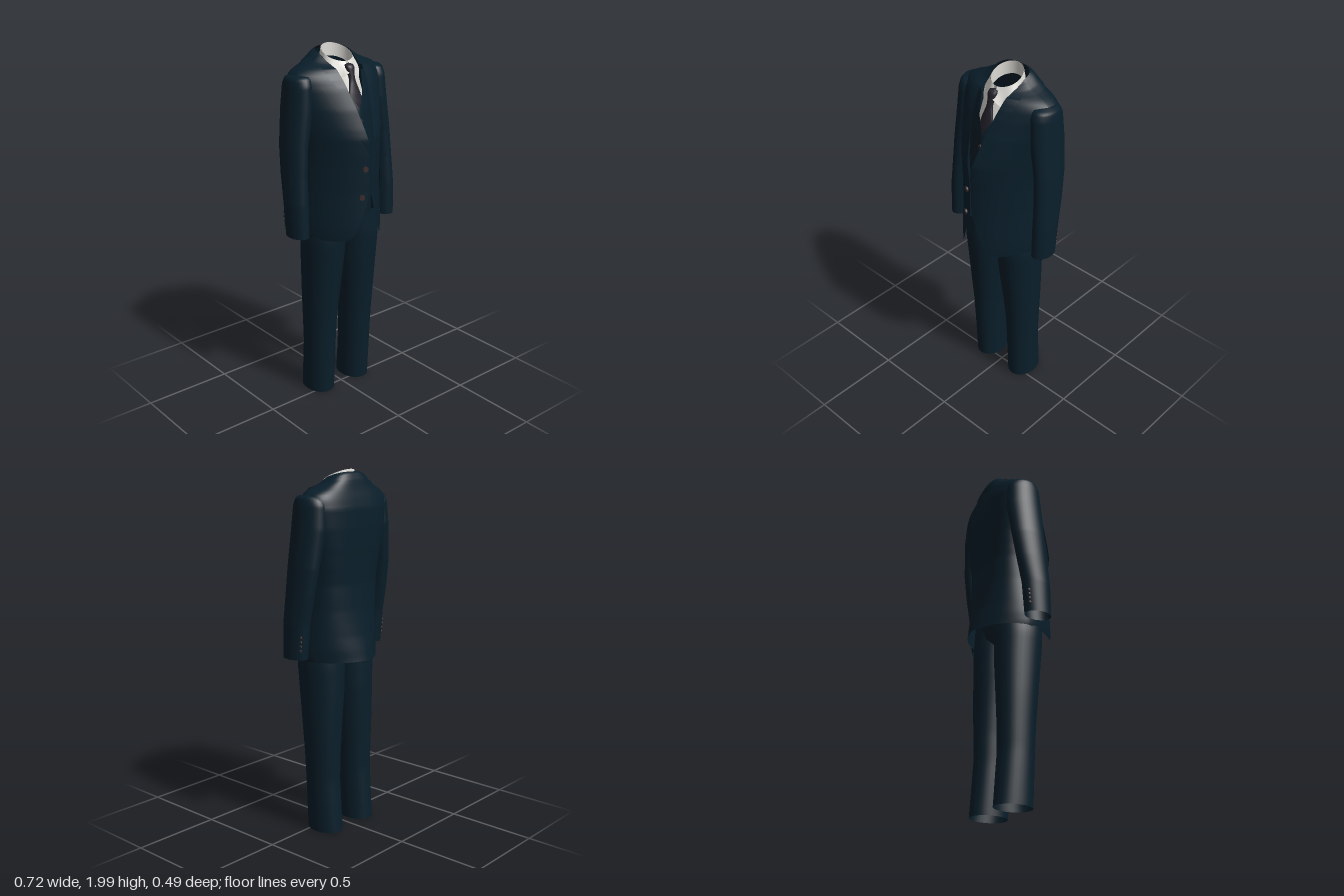
import * as THREE from 'three';
import { mergeVertices } from 'three/addons/utils/BufferGeometryUtils.js';

const mat = (name, color) => {
  const m = new THREE.MeshStandardMaterial({ color, side: THREE.DoubleSide });
  m.name = name;
  return m;
};
const clamp01 = t => Math.min(1, Math.max(0, t));

// Smooth grid surface from fn(u, v) -> [x, y, z]
function patch(fn, nu, nv) {
  const pos = [], idx = [];
  for (let j = 0; j <= nv; j++)
    for (let i = 0; i <= nu; i++) pos.push(...fn(i / nu, j / nv));
  for (let j = 0; j < nv; j++)
    for (let i = 0; i < nu; i++) {
      const a = j * (nu + 1) + i, b = a + 1, c = a + nu + 1, d = c + 1;
      idx.push(a, b, c, b, d, c);
    }
  let g = new THREE.BufferGeometry();
  g.setAttribute('position', new THREE.Float32BufferAttribute(pos, 3));
  g.setIndex(idx);
  g = mergeVertices(g, 1e-5);
  g.computeVertexNormals();
  return g;
}

// Linear lookup in rows sorted by their first value
function sample(rows, y) {
  let i = 0;
  while (i < rows.length - 2 && y > rows[i + 1][0]) i++;
  const a = rows[i], b = rows[i + 1];
  const t = clamp01((y - a[0]) / (b[0] - a[0]));
  return a.map((v, k) => v + (b[k] - v) * t);
}

// Garment rows: y, half width, front z, back z, middle z, half front opening.
// The chest is slightly pointed, the back squarer higher up, the neckline tips forward.
const NF = 1.55;
const sgnPow = (v, e) => Math.sign(v) * Math.pow(Math.abs(v), e);
function section(r, th, off = 0) {
  const [y, w, zf, zb, zc] = r, c = Math.cos(th);
  const e = 2 / (c > 0 ? NF : 1.75 + 1.15 * clamp01((y - 1) / 0.5));
  const z = zc + (c > 0 ? zf - zc + off : zc - zb + off) * sgnPow(c, e);
  const tilt = 0.32 * clamp01((y - 1.9) / 0.08);
  return [(w + off) * sgnPow(Math.sin(th), e), y - tilt * (z + 0.13), z];
}
const angleAt = (r, x) => Math.asin(Math.pow(clamp01(x / r[1]), NF / 2));
function garment(rows, y0, y1, off = 0, nv = 70) {
  return patch((u, v) => {
    const r = sample(rows, y0 + (y1 - y0) * v), t0 = angleAt(r, r[5]);
    return section(r, t0 + (2 * Math.PI - 2 * t0) * u, off);
  }, 64, nv);
}

// Tube rows: y, centre x, centre z, radius x, radius z
function tube(rows, s = 1, e = 1, nv = 40) {
  const y0 = rows[0][0], y1 = rows[rows.length - 1][0];
  return patch((u, v) => {
    const [y, cx, cz, rx, rz] = sample(rows, y0 + (y1 - y0) * v), a = -u * 2 * Math.PI * s;
    return [s * cx + rx * sgnPow(Math.sin(a), e), y, cz - rz * sgnPow(Math.cos(a), e)];
  }, 32, nv);
}

const JACKET = [
  [0.985, 0.235, 0.25, -0.243, -0.02, 0.13], [1.0, 0.238, 0.25, -0.24, -0.02, 0.1],
  [1.05, 0.24, 0.25, -0.231, -0.02, 0.07], [1.12, 0.238, 0.247, -0.216, -0.02, 0.045],
  [1.2, 0.234, 0.243, -0.205, -0.02, 0.02], [1.26, 0.231, 0.241, -0.198, -0.02, 0.004],
  [1.4, 0.23, 0.241, -0.19, -0.02, 0.003], [1.47, 0.235, 0.243, -0.193, -0.025, 0.004],
  [1.55, 0.246, 0.241, -0.197, -0.03, 0.02], [1.6, 0.256, 0.228, -0.2, -0.035, 0.03],
  [1.7, 0.275, 0.194, -0.203, -0.045, 0.05], [1.8, 0.287, 0.148, -0.2, -0.05, 0.07],
  [1.85, 0.285, 0.12, -0.187, -0.05, 0.08], [1.88, 0.265, 0.1, -0.177, -0.05, 0.085],
  [1.91, 0.2, 0.08, -0.168, -0.05, 0.088], [1.94, 0.148, 0.06, -0.16, -0.05, 0.09],
  [1.97, 0.117, 0.03, -0.146, -0.05, 0.098], [1.985, 0.1, 0.0, -0.13, -0.05, 0.1]];
const VEST = [
  [1.1, 0.2, 0.178, -0.16, -0.03, 0.02], [1.16, 0.2, 0.18, -0.16, -0.03, 0],
  [1.5, 0.215, 0.18, -0.16, -0.03, 0], [1.69, 0.22, 0.152, -0.17, -0.04, 0],
  [1.79, 0.22, 0.122, -0.17, -0.05, 0.055], [1.87, 0.18, 0.088, -0.15, -0.05, 0.085]];
const SHIRT = [
  [1.6, 0.17, 0.155, -0.1, -0.04, 0], [1.7, 0.165, 0.128, -0.1, -0.04, 0],
  [1.75, 0.155, 0.108, -0.1, -0.04, 0], [1.85, 0.13, 0.077, -0.1, -0.04, 0],
  [1.93, 0.095, 0.045, -0.1, -0.04, 0]];
const SLEEVE = [
  [1.015, 0.303, 0, 0.053, 0.077], [1.2, 0.303, -0.01, 0.056, 0.083],
  [1.35, 0.297, -0.03, 0.056, 0.092], [1.5, 0.286, -0.045, 0.059, 0.1],
  [1.7, 0.255, -0.055, 0.069, 0.107], [1.82, 0.247, -0.055, 0.064, 0.1],
  [1.855, 0.243, -0.053, 0.061, 0.085], [1.872, 0.24, -0.05, 0.05, 0.06],
  [1.878, 0.235, -0.05, 0.001, 0.001]];
const LEG = [
  [0.005, 0.13, -0.055, 0.08, 0.106], [0.3, 0.13, -0.038, 0.083, 0.101],
  [0.45, 0.13, -0.035, 0.088, 0.106], [0.6, 0.127, -0.03, 0.097, 0.115],
  [0.8, 0.12, -0.022, 0.11, 0.128], [0.95, 0.118, -0.015, 0.117, 0.135],
  [1.1, 0.11, -0.015, 0.113, 0.13]];
const HIPS = [
  [0.915, 0, -0.015, 0.02, 0.001], [0.94, 0, -0.015, 0.05, 0.07],
  [0.99, 0, -0.015, 0.1, 0.125], [1.05, 0, -0.015, 0.18, 0.135],
  [1.15, 0, -0.015, 0.2, 0.135]];
const TIE = [
  [1.64, 0, 0.139, 0.03, 0.01], [1.72, 0, 0.123, 0.045, 0.012],
  [1.77, 0, 0.109, 0.037, 0.013], [1.83, 0, 0.092, 0.019, 0.012],
  [1.85, 0, 0.085, 0.018, 0.015], [1.9, 0, 0.068, 0.027, 0.022],
  [1.915, 0, 0.06, 0.022, 0.018], [1.918, 0, 0.058, 0.001, 0.001]];
// Lapel and collar outer edges: y, x
const LAPEL = [[1.46, 0.008], [1.6, 0.085], [1.74, 0.158], [1.83, 0.188]];
const COLLAR_FLAP = [[1.81, 0.115], [1.85, 0.14], [1.9, 0.15], [1.94, 0.13]];

// Thin piece laid on the jacket front between inner and outer x
function overlay(y0, y1, inner, outer, off, s) {
  return patch((u, v) => {
    const y = y0 + (y1 - y0) * v, r = sample(JACKET, y);
    const x = inner(y, r) + (outer(y, r) - inner(y, r)) * u;
    const p = section(r, angleAt(r, x), off(v));
    return [s * p[0], p[1], p[2]];
  }, 12, 30);
}

export function createModel() {
  const root = new THREE.Group();
  root.name = 'suit';
  const navy = mat('navy wool', 0x091e2a), white = mat('shirt white', 0xdedcd6);
  const dark = mat('tie charcoal', 0x24222b), brown = mat('button brown', 0x3b2b2d);
  const add = (name, geo, m) => {
    const mesh = new THREE.Mesh(geo, m);
    mesh.name = name;
    root.add(mesh);
    return mesh;
  };
  const edge = (y, r) => r[5];

  add('jacketBody', garment(JACKET, 0.985, 1.985), navy);
  add('jacketCollar', garment(JACKET, 1.92, 1.983, 0.005, 12), navy);
  add('vest', garment(VEST, 1.1, 1.87, 0, 40), navy);
  add('trouserHips', tube(HIPS), navy);

  for (const s of [1, -1]) {
    const side = s > 0 ? 'left' : 'right';
    add(side + 'Sleeve', tube(SLEEVE, s, 1, 80), navy);
    add(side + 'TrouserLeg', tube(LEG, s, 0.95), navy);
    add(side + 'Lapel', overlay(1.46, 1.83, edge, y => sample(LAPEL, y)[1],
      v => 0.002 + 0.007 * clamp01(v * 4), s), navy);
    add(side + 'CollarFlap', overlay(1.81, 1.94, edge,
      (y, r) => Math.min(r[1], sample(COLLAR_FLAP, y)[1]), v => 0.012 - 0.007 * v, s), navy);
    add(side + 'PocketFlap', overlay(1.25, 1.315, () => 0.15, () => 0.222, () => 0.006, s), navy);
    // Cuff buttons on the outer back of the sleeve
    for (let i = 0; i < 4; i++) {
      const y = 1.065 + i * 0.024, [, cx, cz, rx, rz] = sample(SLEEVE, y);
      const b = add(side + 'CuffButton', new THREE.SphereGeometry(0.009, 10, 8), brown);
      b.scale.set(0.5, 1, 1);
      b.position.set(s * (cx + rx * 0.6), y, cz - rz * 0.8);
    }
  }
  add('breastPocket', overlay(1.585, 1.61, () => 0.125, () => 0.195, () => 0.005, 1), navy);

  // Shirt front, standing band and folded collar
  add('shirtFront', patch((u, v) =>
    section(sample(SHIRT, 1.6 + 0.33 * v), (u - 0.5) * Math.PI * 1.1), 32, 20), white);
  const rimY = a => 1.962 - 0.036 * Math.cos(a);
  const ring = (a, grow, y) => [(0.083 + grow) * Math.sin(a), y, -0.037 + (0.08 + grow) * Math.cos(a)];
  add('shirtBand', patch((u, v) => {
    const a = u * 2 * Math.PI;
    return ring(a, 0, rimY(a) - 0.07 * (1 - v));
  }, 48, 4), white);
  add('shirtCollar', patch((u, v) => {
    const a = 0.1 + u * (2 * Math.PI - 0.2), f = Math.min(a, 2 * Math.PI - a), d = 1 - v;
    const drop = 0.045 + 0.045 * Math.exp(-(((f - 0.55) / 0.32) ** 2));
    return ring(a, 0.002 + d * (0.008 + 0.038 * Math.max(0, Math.cos(a))), rimY(a) - drop * d);
  }, 72, 6), white);

  add('tie', tube(TIE), dark);

  // Front buttons, turned to lie flat on the cloth
  const button = (name, rows, x, y, radius) => {
    const r = sample(rows, y), zAt = d => section(r, angleAt(r, Math.abs(x + d)))[2];
    const geo = new THREE.CylinderGeometry(radius, radius, 0.012, 16).rotateX(Math.PI / 2);
    const b = add(name, geo, brown);
    b.rotation.y = Math.atan((zAt(-0.01) - zAt(0.01)) / 0.02);
    b.position.set(x, y, zAt(0) + 0.003);
  };
  button('jacketButton', JACKET, -0.03, 1.39, 0.015);
  button('jacketButton', JACKET, -0.047, 1.235, 0.015);
  for (const y of [1.63, 1.55]) button('vestButton', VEST, 0, y, 0.009);

  return root;
}
